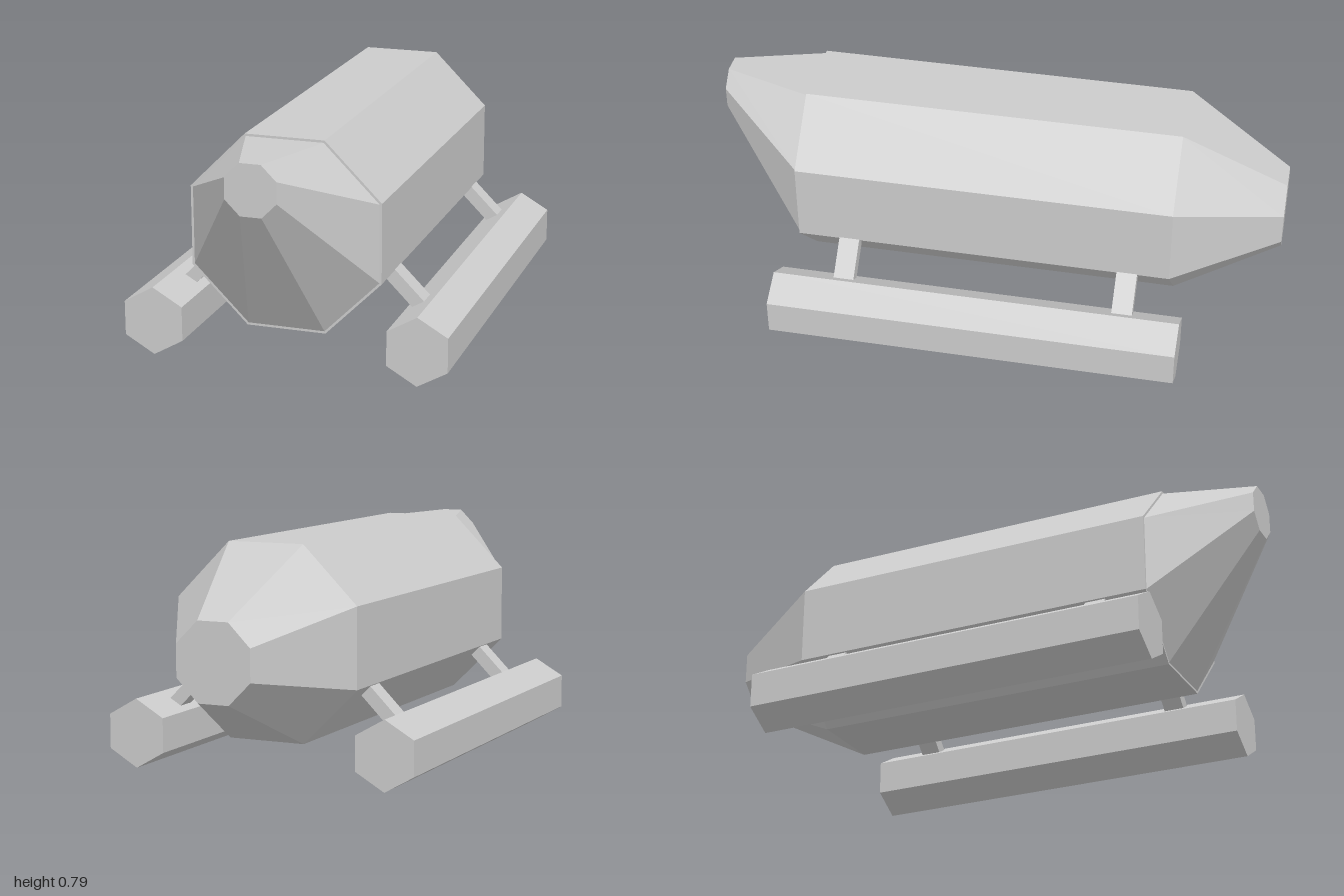
import * as THREE from 'three';

const material = new THREE.MeshStandardMaterial({ color: 0xcccccc, flatShading: true });

// Prism or tapered prism along z; front and back are { z, y, r } (r = corner radius)
function taper(name, sides, x, front, back) {
  const length = front.z - back.z;
  const start = sides === 8 ? Math.PI / 8 : 0;
  const geometry = new THREE.CylinderGeometry(front.r, back.r, length, sides, 1, false, start);
  geometry.rotateX(Math.PI / 2);
  // Slide each ring to its own height
  const p = geometry.attributes.position;
  for (let i = 0; i < p.count; i++) {
    p.setY(i, p.getY(i) + (p.getZ(i) > 0 ? front.y : back.y));
  }
  geometry.translate(x, 0, (front.z + back.z) / 2);
  geometry.computeVertexNormals();
  const mesh = new THREE.Mesh(geometry, material);
  mesh.name = name;
  return mesh;
}

export function createModel() {
  const model = new THREE.Group();
  model.name = 'pontoonCraft';
  const cx = -0.01;
  const corner = (apothem) => apothem / Math.cos(Math.PI / 8);

  // Octagonal hull with an upswept nose and a tapered tail
  const hullFront = { z: 0.687, y: 0.456, r: corner(0.332) };
  const hullBack = { z: -0.635, y: 0.456, r: corner(0.332) };
  model.add(taper('hull', 8, cx, hullFront, hullBack));
  model.add(taper('nose', 8, cx,
    { z: 1, y: 0.697, r: corner(0.087) },
    { z: 0.687, y: 0.456, r: corner(0.324) }));
  model.add(taper('tail', 8, cx, hullBack, { z: -1, y: 0.437, r: corner(0.133) }));

  for (const [side, s] of [['left', 1], ['right', -1]]) {
    // Hexagonal pontoon
    model.add(taper(side + 'Pontoon', 6, cx / 5 + s * 0.463, 
      { z: 0.747, y: 0.121, r: 0.12 }, { z: -0.692, y: 0.121, r: 0.12 }));

    // Diagonal struts between hull and pontoon
    for (const [end, z] of [['Front', 0.504], ['Back', -0.488]]) {
      const strut = new THREE.Mesh(new THREE.BoxGeometry(0.22, 0.046, 0.072), material);
      strut.name = side + end + 'Strut';
      strut.position.set(cx / 2 + s * 0.335, 0.281, z);
      strut.rotation.z = -s * Math.PI / 4;
      model.add(strut);
    }
  }
  return model;
}
